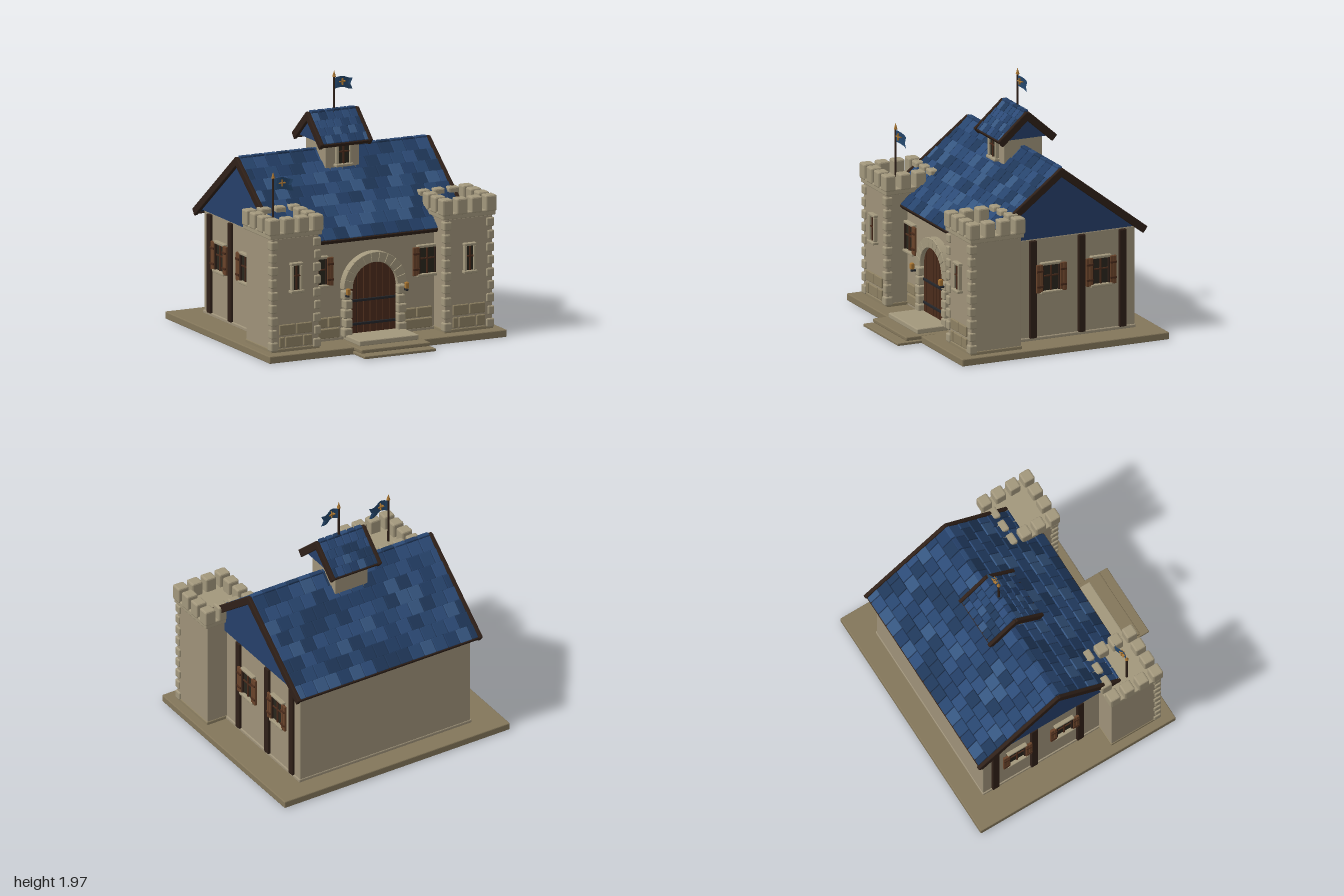
import * as THREE from 'three';
import { RoundedBoxGeometry } from 'three/addons/geometries/RoundedBoxGeometry.js';

const WALL = 0x9e9279, STONE = 0xa2977c, DARKSTONE = 0x8d8062, BASE = 0x83765a;
const TIMBER = 0x2f2018, PLANK = 0x4a2b1b, SHUTTER = 0x69432a, GLASS = 0x29251c;
const IRON = 0x24262a, GOLD = 0xa87532, NAVY = 0x1c2c47, BLUE = 0x263f6a;
const TILES = [0x27446d, 0x223c63, 0x2c4a76, 0x1f3758, 0x35557f];

const cache = {};
function mat(color) {
  return (cache[color] ??= new THREE.MeshStandardMaterial({ color, flatShading: true, side: THREE.DoubleSide }));
}
function add(parent, name, geo, color, x = 0, y = 0, z = 0) {
  const m = new THREE.Mesh(geo, mat(color));
  m.name = name;
  m.position.set(x, y, z);
  parent.add(m);
  return m;
}
// Chamfered block, given by centre and size
function block(parent, name, color, x, y, z, w, h, d, r = 0.007) {
  const radius = Math.min(r, Math.min(w, h, d) * 0.25);
  return add(parent, name, new RoundedBoxGeometry(w, h, d, 1, radius), color, x, y, z);
}
function group(parent, name, x = 0, y = 0, z = 0, ry = 0) {
  const g = new THREE.Group();
  g.name = name;
  g.position.set(x, y, z);
  g.rotation.y = ry;
  parent.add(g);
  return g;
}
function extrude(points, depth) {
  const shape = new THREE.Shape(points.map(([x, y]) => new THREE.Vector2(x, y)));
  return new THREE.ExtrudeGeometry(shape, { depth, bevelEnabled: false });
}
let seed = 11;
function rnd() {
  seed = (seed * 16807) % 2147483647;
  return seed / 2147483647;
}

// Gabled roof with its ridge along x at the group's origin
function roof(parent, name, { y, z, half, run, rise, rows, cols, edge, gableHalf, gableDrop }) {
  const g = group(parent, name, 0, y, z);
  const len = Math.hypot(run, rise), rowLen = len / rows, tileW = (2 * half - 2 * edge) / cols;
  for (const ry of [0, Math.PI]) {
    const slope = group(group(g, 'roofSide', 0, 0, 0, ry), 'slope');
    slope.rotation.x = Math.atan2(rise, run);
    add(slope, 'roofDeck', new THREE.BoxGeometry(2 * half - 0.02, 0.024, len), NAVY, 0, 0, len / 2);
    block(slope, 'eaveBoard', TIMBER, 0, -0.003, len, 2 * half, 0.036, 0.02);
    for (const s of [-1, 1]) block(slope, 'bargeBoard', TIMBER, s * (half - edge / 2), 0, len / 2, edge, 0.06, len + 0.03);
    for (let r = 0; r < rows; r++) {
      const lim = half - edge, shift = r % 2 ? tileW / 2 : 0;
      for (let c = 0; c <= cols; c++) {
        const a = Math.max(-lim, -lim + c * tileW - shift), b = Math.min(lim, -lim + (c + 1) * tileW - shift);
        if (b - a < 0.01) continue;
        const color = TILES[Math.min(4, Math.floor(rnd() * 4.6))];
        const t = block(slope, 'roofTile', color, (a + b) / 2, 0.018, (r + 0.5) * rowLen, b - a - 0.006, 0.015, rowLen, 0.004);
        t.rotation.x = 0.09;
      }
    }
  }
  for (let c = 0; c < cols; c++) {
    const x = -half + edge + (c + 0.5) * tileW;
    block(g, 'ridgeTile', TILES[c % 4], x, 0.026, 0, tileW - 0.008, 0.022, 0.04);
  }
  const k = gableDrop * run / rise;
  const gable = add(g, 'gable', extrude([[-k, -gableDrop], [k, -gableDrop], [0, 0]], 2 * gableHalf), BLUE, -gableHalf, -0.02, 0);
  gable.rotation.y = Math.PI / 2;
}

// Window facing +z, with frame, bars and optional shutters
function windowUnit(parent, name, x, y, z, ry, w, h, shutters) {
  const g = group(parent, name, x, y, z, ry);
  block(g, 'pane', GLASS, 0, 0, 0, w, h, 0.02);
  block(g, 'lintel', STONE, 0, h / 2 + 0.01, 0.008, w + 0.04, 0.022, 0.04);
  block(g, 'sill', STONE, 0, -h / 2 - 0.01, 0.012, w + 0.05, 0.022, 0.05);
  for (const s of [-1, 1]) {
    block(g, 'windowFrame', shutters ? TIMBER : STONE, s * (w / 2 + 0.005), 0, 0.008, 0.02, h, 0.035);
    if (!shutters) continue;
    const sx = s * (w / 2 + 0.033);
    for (const p of [-1, 1]) block(g, 'shutterPlank', SHUTTER, sx + p * 0.014, 0, 0.022, 0.028, h + 0.02, 0.02);
    for (const p of [-1, 1]) block(g, 'shutterBand', PLANK, sx, p * h * 0.3, 0.033, 0.054, 0.018, 0.012);
  }
  block(g, 'mullion', PLANK, 0, 0, 0.012, 0.014, h, 0.014);
  block(g, 'transom', PLANK, 0, h * 0.08, 0.012, w, 0.012, 0.014);
}

// Pole with a finial and a waving banner
function flag(parent, name, x, y, z, height, w, h) {
  const g = group(parent, name, x, y, z);
  add(g, 'pole', new THREE.CylinderGeometry(0.008, 0.009, height, 8), TIMBER, 0, height / 2, 0);
  add(g, 'finial', new THREE.ConeGeometry(0.015, 0.05, 8), GOLD, 0, height + 0.02, 0);
  const cloth = new THREE.PlaneGeometry(w, h, 8, 2), p = cloth.attributes.position;
  for (let i = 0; i < p.count; i++) {
    const u = p.getX(i) / w + 0.5, v = p.getY(i) / h;
    p.setXYZ(i, p.getX(i) - (Math.abs(v) < 0.1 ? 0.02 * u : 0), p.getY(i) + 0.012 * Math.sin(u * 5) - 0.006 * u, 0.012 * Math.sin(u * 6));
  }
  cloth.computeVertexNormals();
  const cy = height - 0.055;
  add(g, 'banner', cloth, 0x24466b, w / 2 + 0.008, cy, 0);
  add(g, 'bannerStripe', new THREE.BoxGeometry(0.007, h * 0.6, 0.03), GOLD, w * 0.42, cy + 0.01, 0.006);
  add(g, 'bannerBar', new THREE.BoxGeometry(0.055, 0.007, 0.03), GOLD, w * 0.42, cy + 0.01, 0.006);
}

function tower(parent, name, cx) {
  const g = group(parent, name, cx, 0, 0.445);
  block(g, 'towerBody', WALL, 0, 0.49, 0, 0.4, 0.88, 0.42);
  block(g, 'towerCap', STONE, 0, 0.95, 0, 0.44, 0.045, 0.45);
  // Battlements around the rim
  for (let i = 0; i < 4; i++) for (let j = 0; j < 4; j++) {
    if (i % 3 && j % 3) continue;
    block(g, 'merlon', STONE, (i - 1.5) * 0.122, 1.02, (j - 1.5) * 0.125, 0.092, 0.125, 0.09, 0.012);
  }
  // Corner stones
  for (const s of [-1, 1]) for (let i = 0; i < 9; i++) {
    const w = i % 2 ? 0.055 : 0.065;
    block(g, 'cornerStone', STONE, s * (0.212 - w / 2), 0.1 + i * 0.097, 0.225 - w / 2, w, 0.068, w, 0.01);
  }
  // Footing courses on the front
  for (const [y, cuts] of [[0.13, [-0.14, -0.09, 0.06, 0.14]], [0.225, [-0.14, 0, 0.14]]])
    for (let i = 1; i < cuts.length; i++)
      block(g, 'footingStone', DARKSTONE, (cuts[i] + cuts[i - 1]) / 2, y, 0.21, cuts[i] - cuts[i - 1] - 0.008, 0.08, 0.025);
  block(g, 'towerFoot', DARKSTONE, 0, 0.065, 0, 0.41, 0.035, 0.43);
  windowUnit(g, 'towerWindow', 0, 0.62, 0.218, 0, 0.065, 0.19, false);
}

function door(parent) {
  const g = group(parent, 'entrance', 0, 0, 0.48), R = 0.19, cy = 0.45;
  const arch = (x) => cy + Math.sqrt(Math.max(0, R * R - x * x));
  for (let i = 0; i < 7; i++) {
    const a = -R + (i * 2 * R) / 7 + 0.003, b = a + (2 * R) / 7 - 0.006, m = (a + b) / 2;
    add(g, 'doorPlank', extrude([[a, 0.08], [b, 0.08], [b, arch(b)], [m, arch(m)], [a, arch(a)]], 0.03), PLANK);
  }
  for (const y of [0.17, 0.35]) block(g, 'ironBand', IRON, 0, y, 0.034, 0.37, 0.02, 0.014);
  const back = new THREE.Shape();
  back.moveTo(-R, 0.08).lineTo(R, 0.08).lineTo(R, cy).absarc(0, cy, R, 0, Math.PI, false);
  add(g, 'doorBacking', new THREE.ExtrudeGeometry(back, { depth: 0.02, bevelEnabled: false }), TIMBER);
  // Arch stones and jambs
  for (let i = 0; i < 11; i++) {
    const a = (i * Math.PI) / 11 + 0.012, b = ((i + 1) * Math.PI) / 11 - 0.012, s = new THREE.Shape();
    s.absarc(0, cy, 0.262, a, b, false);
    s.absarc(0, cy, R, b, a, true);
    add(g, 'archStone', new THREE.ExtrudeGeometry(s, { depth: 0.06, bevelEnabled: true, bevelSize: 0.003, bevelThickness: 0.005, bevelSegments: 1, curveSegments: 3 }), STONE);
  }
  for (const s of [-1, 1]) {
    for (let i = 0; i < 5; i++) block(g, 'jambStone', STONE, s * (i % 2 ? 0.222 : 0.228), 0.115 + i * 0.072, 0.035, i % 2 ? 0.062 : 0.074, 0.068, 0.075, 0.01);
    block(g, 'lantern', GOLD, s * 0.247, 0.44, 0.1, 0.03, 0.05, 0.03);
    block(g, 'lanternBracket', IRON, s * 0.247, 0.405, 0.085, 0.02, 0.015, 0.05);
    // Footing courses beside the door
    for (const [y, x, w] of [[0.2, 0.32, 0.1], [0.2, 0.44, 0.13], [0.115, 0.39, 0.23]])
      block(g, 'footingStone', DARKSTONE, s * x, y, 0.005, w, 0.075, 0.03);
  }
}

export function createModel() {
  const model = new THREE.Group();
  model.name = 'gatehouse';

  // Ground slab and steps
  block(model, 'baseSlab', BASE, 0, 0.028, -0.1, 2, 0.056, 1.72);
  block(model, 'lowerStep', BASE, 0, 0.015, 0.83, 0.6, 0.022, 0.26);
  block(model, 'middleStep', BASE, 0, 0.045, 0.76, 0.58, 0.03, 0.25);
  block(model, 'upperStep', STONE, 0, 0.08, 0.64, 0.5, 0.04, 0.27);

  // Hall
  block(model, 'hallWalls', WALL, 0, 0.45, -0.155, 1.51, 0.79, 1.27);
  block(model, 'hallFoot', WALL, 0, 0.065, -0.155, 1.53, 0.03, 1.28);
  roof(model, 'mainRoof', { y: 1.355, z: -0.155, half: 0.82, run: 0.685, rise: 0.525, rows: 8, cols: 15, edge: 0.03, gableHalf: 0.775, gableDrop: 0.485 });
  for (const s of [-1, 1]) {
    for (const z of [0.06, -0.345, -0.685]) block(model, 'timberPost', TIMBER, s * 0.76, 0.455, z, 0.035, 0.76, 0.058);
    for (const z of [-0.085, -0.5]) windowUnit(model, 'sideWindow', s * 0.758, 0.535, z, s * Math.PI / 2, 0.13, 0.2, true);
    windowUnit(model, 'frontWindow', s * 0.46, 0.595, 0.485, 0, 0.13, 0.2, true);
    tower(model, s > 0 ? 'leftTower' : 'rightTower', s * 0.73);
  }
  door(model);

  // Rooftop turret
  block(model, 'turretWalls', WALL, 0, 1.34, -0.155, 0.29, 0.25, 0.32);
  windowUnit(model, 'turretWindow', 0, 1.37, 0.012, 0, 0.1, 0.16, false);
  roof(model, 'turretRoof', { y: 1.64, z: -0.16, half: 0.22, run: 0.215, rise: 0.19, rows: 4, cols: 6, edge: 0.028, gableHalf: 0.18, gableDrop: 0.165 });

  flag(model, 'turretFlag', 0.02, 1.64, -0.17, 0.28, 0.15, 0.085);
  flag(model, 'towerFlag', -0.81, 0.97, 0.445, 0.38, 0.165, 0.09);
  return model;
}
